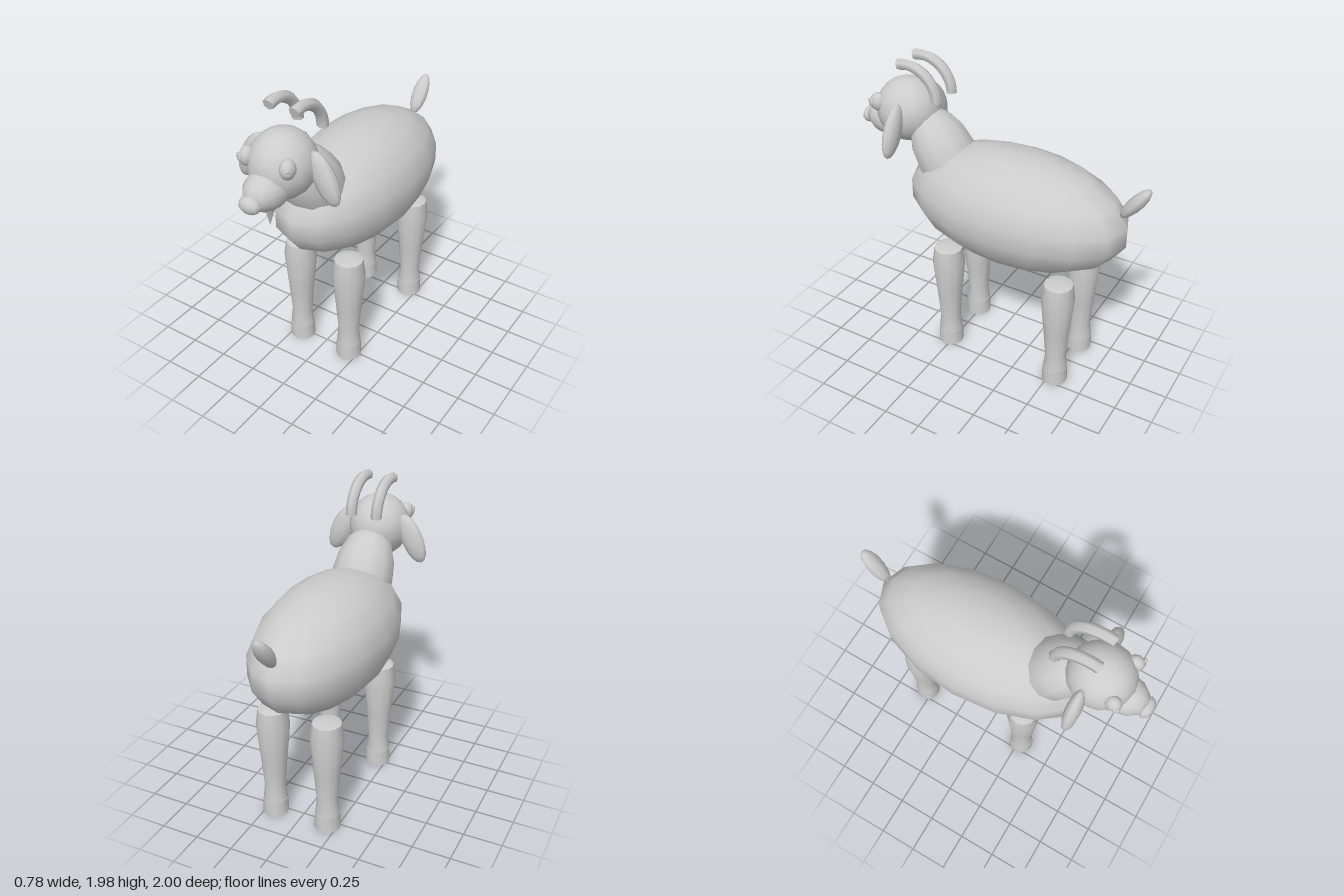
import * as THREE from 'three';
import { toCreasedNormals } from 'three/addons/utils/BufferGeometryUtils.js';

export function createModel() {
  const model = new THREE.Group();
  model.name = 'goat';
  const grey = new THREE.MeshStandardMaterial({ color: 0xcccccc });
  grey.name = 'plain grey';

  function add(name, geometry, position, rotation = [0, 0, 0], parent = model) {
    const mesh = new THREE.Mesh(geometry, grey);
    mesh.name = name;
    mesh.position.set(...position);
    mesh.rotation.set(...rotation);
    parent.add(mesh);
    return mesh;
  }
  const ellipsoid = (radii, around = 12, rings = 9) =>
    new THREE.SphereGeometry(1, around, rings).scale(...radii);
  const lathe = (profile, sides) =>
    toCreasedNormals(new THREE.LatheGeometry(profile.map(p => new THREE.Vector2(...p)), sides), 0.7);

  // Trunk and neck
  add('body', ellipsoid([0.397, 0.376, 0.757], 16, 9), [0, 1.123, -0.135]);
  add('neck', ellipsoid([0.205, 0.33, 0.195], 12, 8), [0, 1.343, 0.377], [0.54, 0, 0]);

  // Head
  add('head', ellipsoid([0.2, 0.21, 0.212], 16, 11), [0, 1.608, 0.648]);
  add('muzzle', ellipsoid([0.126, 0.122, 0.165], 12, 9), [0, 1.516, 0.795]);
  add('nose', ellipsoid([0.071, 0.054, 0.046], 10, 7), [0, 1.492, 0.954]);
  add('beard', new THREE.ConeGeometry(0.053, 0.17, 4).rotateX(Math.PI), [0, 1.35, 0.79]);

  // Tail
  add('tail', ellipsoid([0.058, 0.14, 0.045], 8, 7), [0, 1.38, -0.915], [-0.63, 0, 0]);

  // Curved horn with capped ends
  const hornArc = 1.87, hornRadius = 0.203, hornThickness = 0.036;
  function addHorn(x) {
    const horn = new THREE.Group();
    horn.name = 'horn';
    horn.position.set(x, 1.743, 0.585);
    horn.rotation.y = Math.PI / 2;
    model.add(horn);
    add('hornCurve', new THREE.TorusGeometry(hornRadius, hornThickness, 6, 12, hornArc), [0, 0, 0], undefined, horn);
    const cap = turn => new THREE.CircleGeometry(hornThickness, 6)
      .rotateX(turn).translate(hornRadius, 0, 0);
    add('hornBase', cap(Math.PI / 2), [0, 0, 0], undefined, horn);
    add('hornTip', cap(-Math.PI / 2), [0, 0, 0], [0, 0, hornArc], horn);
  }

  // Paired features of the head
  for (const side of [-1, 1]) {
    add('ear', ellipsoid([0.078, 0.172, 0.047], 10, 9), [side * 0.25, 1.56, 0.605], [0, 0, side * 0.45]);
    add('eye', ellipsoid([0.045, 0.062, 0.053], 10, 8), [side * 0.137, 1.675, 0.785]);
    add('pupil', ellipsoid([0.028, 0.034, 0.028], 8, 6), [side * 0.155, 1.672, 0.81]);
    add('eyeGlint', ellipsoid([0.013, 0.014, 0.013], 6, 5), [side * 0.168, 1.69, 0.825]);
    addHorn(side * 0.087);
  }

  // Legs and hooves
  const legProfile = [[0.079, 0.1], [0.067, 0.21], [0.083, 0.4], [0.107, 0.665], [0.092, 0.775], [0, 0.798]];
  const hoofProfile = [[0, 0], [0.084, 0], [0.08, 0.105], [0, 0.105]];
  for (const x of [-0.187, 0.187]) {
    for (const [z, end] of [[0.267, 'front'], [-0.537, 'rear']]) {
      add(end + 'Leg', lathe(legProfile, 12), [x, 0, z]);
      add(end + 'Hoof', lathe(hoofProfile, 12), [x, 0, z]);
    }
  }
  return model;
}
